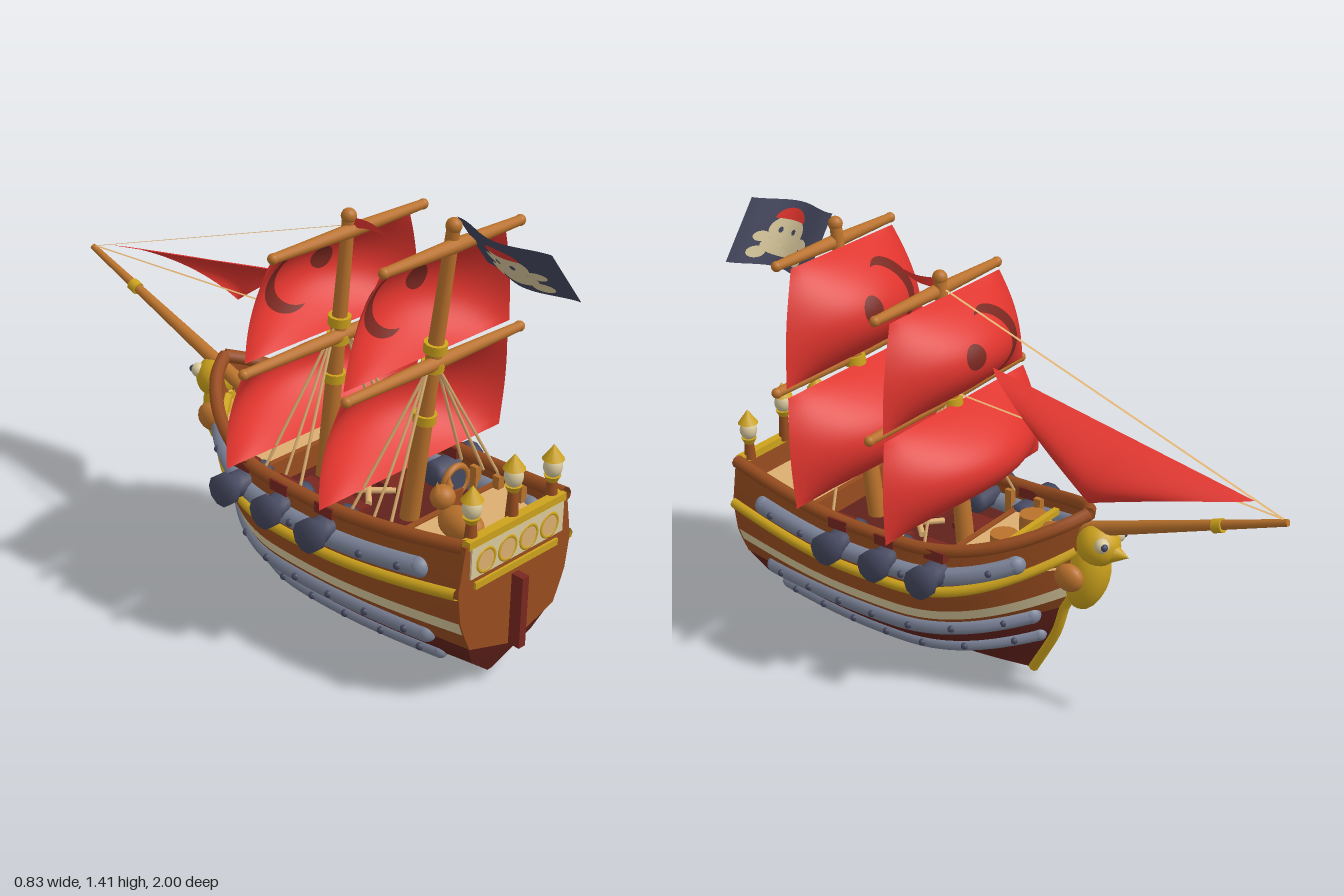
import * as THREE from 'three';

const colour = (name, hex) => new THREE.MeshStandardMaterial({ name, color: hex, side: THREE.DoubleSide });
const M = {
  hull: colour('hull brown', 0x974c1f), wood: colour('orange wood', 0xba722c),
  dark: colour('dark red wood', 0x62221b), sail: colour('sail red', 0xdf342d),
  cream: colour('cream', 0xd8c89c), gold: colour('gold', 0xcca21c),
  steel: colour('steel', 0x7d859a), slate: colour('slate', 0x46485f),
  tan: colour('tan', 0xdcae70), crest: colour('crest red', 0x78271f),
};
const V = (x, y, z) => new THREE.Vector3(x, y, z);
const lerp = THREE.MathUtils.lerp;

export function createModel() {
  const ship = new THREE.Group();
  ship.name = 'sailingShip';
  const add = (name, geo, mat, x = 0, y = 0, z = 0) => {
    const m = new THREE.Mesh(geo, mat);
    m.name = name;
    m.position.set(x, y, z);
    ship.add(m);
    return m;
  };
  const box = (name, mat, w, h, d, x, y, z) => add(name, new THREE.BoxGeometry(w, h, d), mat, x, y, z);
  const ball = (name, mat, r, x, y, z, sx = 1, sy = 1, sz = 1) => {
    const m = add(name, new THREE.SphereGeometry(r, 16, 12), mat, x, y, z);
    m.scale.set(sx, sy, sz);
    return m;
  };
  // Tapered round bar between two points
  const bar = (name, mat, a, b, ra, rb = ra, n = 12) => {
    const m = add(name, new THREE.CylinderGeometry(rb, ra, a.distanceTo(b), n), mat);
    m.position.copy(a).lerp(b, 0.5);
    m.quaternion.setFromUnitVectors(V(0, 1, 0), b.clone().sub(a).normalize());
    return m;
  };
  const tube = (name, mat, pts, r, n = 48) =>
    add(name, new THREE.TubeGeometry(new THREE.CatmullRomCurve3(pts), n, r, 8), mat);
  // Surface from a rule over u, v in 0..1
  const grid = (name, mat, fn, nu, nv) => {
    const pos = [], idx = [], w = nu + 1;
    for (let j = 0; j <= nv; j++) for (let i = 0; i <= nu; i++) pos.push(...fn(i / nu, j / nv).toArray());
    for (let j = 0; j < nv; j++) for (let i = 0; i < nu; i++) {
      const a = j * w + i;
      idx.push(a, a + 1, a + w, a + 1, a + w + 1, a + w);
    }
    const g = new THREE.BufferGeometry();
    g.setAttribute('position', new THREE.Float32BufferAttribute(pos, 3));
    g.setIndex(idx);
    g.computeVertexNormals();
    return add(name, g, mat);
  };

  // Hull rows: mid y, stern y, bow y, half width, stern z, bow z, bow sharpness, stern narrowing
  const rows = [
    [0, 0.01, 0.02, 0.015, 0.86, -0.12, 1.3, 0.7],
    [0.11, 0.11, 0.19, 0.2, 0.9, -0.21, 1.25, 0.65],
    [0.21, 0.2, 0.29, 0.265, 0.93, -0.24, 1.12, 0.7],
    [0.245, 0.26, 0.34, 0.28, 0.93, -0.265, 1.05, 0.76],
    [0.28, 0.305, 0.39, 0.288, 0.93, -0.28, 1, 0.8],
    [0.355, 0.41, 0.52, 0.295, 0.93, -0.3, 0.88, 0.83],
    [0.5, 0.555, 0.64, 0.275, 0.93, -0.32, 0.78, 0.8],
  ];
  const rowPoint = ([mid, st, bow, w, zs, ze, q, n], s) => {
    const a = Math.max(0, 1 - s / 0.4) ** 1.5, b = Math.max(0, (s - 0.6) / 0.4) ** 2;
    const f = s < 0.5 ? lerp(n, 1, Math.sin(Math.PI * s)) : Math.max(0, 1 - ((s - 0.5) / 0.5) ** 2.7) ** q;
    return V(w * f, mid + (st - mid) * a + (bow - mid) * b, lerp(zs, ze, s));
  };
  const hull = (t, s, side = 1) => {
    const i = Math.min(5, Math.floor(t));
    const p = rowPoint(rows[i], s).lerp(rowPoint(rows[i + 1], s), t - i);
    p.x *= side;
    return p;
  };
  const along = (t, s0, s1, side, n = 30) =>
    Array.from({ length: n + 1 }, (_, i) => hull(t, lerp(s0, s1, i / n), side));
  const sAt = (t, z) => { const a = hull(t, 0).z; return (a - z) / (a - hull(t, 1).z); };
  const ease = (u) => 1 - (1 - u) ** 1.6; // finer steps at the bow
  const strakes = [[0, 2, M.dark, 'lowerHull'], [2, 3, M.hull, 'waterlinePlank'], [3, 4, M.cream, 'creamStripe'],
    [4, 6, M.hull, 'upperHull']];
  const barrel = [[0, 0], [0.034, 0], [0.043, 0.02], [0.043, 0.13], [0.037, 0.15], [0.052, 0.162], [0.052, 0.197], [0, 0.197]];
  for (const side of [-1, 1]) {
    for (const [t0, t1, mat, name] of strakes)
      grid(name, mat, (u, v) => hull(lerp(t0, t1, v), ease(side > 0 ? u : 1 - u), side), 44, 2 * (t1 - t0));
    tube('topRail', M.hull, along(6, 0, 1, side), 0.022);
    tube('goldMoulding', M.gold, along(5, 0, 0.99, side), 0.018);
    // Armour strips with studs
    for (const [t, r] of [[1, 0.024], [2, 0.031], [5.38, 0.033]]) {
      const s0 = sAt(t, 0.79), s1 = sAt(t, -0.16), path = along(t, s0, s1, side);
      for (const p of path) p.x -= side * 0.006;
      tube('armourStrip', M.steel, path, r);
      for (const p of [path[0], path[30]]) ball('armourEnd', M.steel, r, p.x, p.y, p.z);
      for (let k = 0; k < 7; k++) {
        const p = hull(t, lerp(s0, s1, (k + 0.4) / 6.8), side);
        ball('stud', M.slate, 0.012, p.x + side * (r - 0.009), p.y, p.z);
      }
    }
    // Cannons and their port lids
    for (const z of [0.44, 0.25, 0.065]) {
      const c = add('cannon', new THREE.LatheGeometry(barrel.map((p) => new THREE.Vector2(...p)), 10), M.slate,
        side * 0.17, 0.435, z);
      c.rotation.z = -side * Math.PI / 2;
      box('portLid', M.crest, 0.05, 0.035, 0.075, side * (hull(6, sAt(6, z)).x - 0.002), 0.497, z);
    }
  }
  tube('stem', M.gold, rows.slice(0, 6).map((r) => rowPoint(r, 1)), 0.017);

  // Stern
  grid('sternBottom', M.dark, (u, v) => { const p = hull(v * 2, 0); p.x *= 2 * u - 1; return p; }, 4, 4);
  const tr = new THREE.Shape();
  tr.moveTo(0, 0.14);
  for (const t of [2, 3, 4, 5, 6]) tr.lineTo(hull(t, 0).x, hull(t, 0).y);
  for (const t of [6, 5, 4, 3, 2]) tr.lineTo(-hull(t, 0).x, hull(t, 0).y);
  add('transom', new THREE.ExtrudeGeometry(tr, { depth: 0.014, bevelEnabled: false }), M.hull, 0, 0, 0.922);
  box('windowPanel', M.cream, 0.4, 0.1, 0.008, 0, 0.495, 0.938);
  box('sternRail', M.gold, 0.42, 0.026, 0.03, 0, 0.556, 0.926);
  box('sternSill', M.gold, 0.36, 0.022, 0.016, 0, 0.416, 0.936);
  box('rudder', M.crest, 0.028, 0.24, 0.05, 0, 0.265, 0.953);
  for (let i = 0; i < 4; i++) {
    const x = -0.138 + i * 0.092;
    add('windowRim', new THREE.TorusGeometry(0.037, 0.007, 8, 24), M.gold, x, 0.488, 0.938);
    add('window', new THREE.CircleGeometry(0.037, 24), M.tan, x, 0.488, 0.943);
  }
  // Lanterns
  for (const [x, dy] of [[-0.175, 0], [0, 0.035], [0.175, 0]]) {
    const y = 0.57 + dy, z = 0.912;
    add('lanternPost', new THREE.CylinderGeometry(0.014, 0.02, 0.07 + dy, 10), M.hull, x, 0.59 + dy / 2, z);
    add('lanternBase', new THREE.CylinderGeometry(0.026, 0.016, 0.02, 12), M.gold, x, y + 0.05, z);
    ball('lanternGlass', M.cream, 0.029, x, y + 0.088, z, 1, 1.2, 1);
    add('lanternCap', new THREE.ConeGeometry(0.034, 0.048, 12), M.gold, x, y + 0.137, z);
  }

  // Decks and bulkheads
  const deck = (name, mat, y, z0, z1) => grid(name, mat, (u, v) => {
    const z = lerp(z0, z1, v), p = hull(5.5, (0.93 - z) / 1.24);
    return V(p.x * (1 - 2 * u) * 0.99, y, z);
  }, 2, 16);
  deck('poopDeck', M.tan, 0.46, 0.93, 0.64);
  deck('mainDeck', M.dark, 0.39, 0.64, 0.08);
  deck('foreDeck', M.tan, 0.46, 0.08, -0.29);
  box('poopBulkhead', M.hull, 0.52, 0.08, 0.02, 0, 0.425, 0.64);
  box('foreBulkhead', M.hull, 0.48, 0.08, 0.02, 0, 0.425, 0.08);
  box('foreRail', M.gold, 0.28, 0.02, 0.02, 0, 0.53, -0.11);
  for (const x of [-0.08, 0.08]) {
    add('barrel', new THREE.CylinderGeometry(0.045, 0.045, 0.07, 14), M.wood, x, 0.495, -0.06);
    for (const z of [0.2, 0.36]) box('hatch', M.crest, 0.1, 0.02, 0.1, x * 1.4, 0.4, z);
  }
  for (const a of [-0.6, 0.6]) bar('looseSpar', M.tan, V(-a * 0.1, 0.41, 0.28), V(a * 0.1, 0.41, 0.4), 0.01);
  // Inner bulwark posts
  for (const side of [-1, 1]) for (const z of [0.88, 0.76, 0.66, 0.56, 0.34, 0.15, 0.02]) {
    const p = hull(5.9, sAt(5.9, z));
    box('bulwarkPost', M.wood, 0.025, p.y - 0.39, 0.025, side * (p.x - 0.022), (p.y + 0.39) / 2, z);
  }

  // Steering wheel and ship's cat
  add('wheelRim', new THREE.TorusGeometry(0.048, 0.011, 8, 24), M.wood, 0.015, 0.575, 0.68);
  add('wheelDisc', new THREE.CylinderGeometry(0.045, 0.045, 0.012, 24), M.slate, 0.015, 0.575, 0.68).rotation.x = Math.PI / 2;
  box('wheelStand', M.hull, 0.04, 0.1, 0.03, 0.015, 0.5, 0.68);
  ball('catBody', M.wood, 0.055, -0.1, 0.53, 0.81, 0.95, 0.95, 1.45);
  ball('catHead', M.wood, 0.038, -0.1, 0.59, 0.735);
  for (const s of [-1, 1]) add('catEar', new THREE.ConeGeometry(0.014, 0.035, 8), M.wood, -0.1 + s * 0.025, 0.633, 0.735);

  // Sails: each mast leans back
  const masts = [
    { at: (y) => 0.53 + (y - 0.5) * 0.136, top: 1.38, yards: [[1.32, 0.28], [0.94, 0.365]],
      sails: [[1.31, 0.955, 0.25, 0.35], [0.925, 0.57, 0.35, 0.39]] },
    { at: (y) => 0.16 + (y - 0.5) * 0.1, top: 1.29, yards: [[1.245, 0.31], [0.895, 0.395]],
      sails: [[1.235, 0.91, 0.28, 0.365], [0.885, 0.565, 0.365, 0.41]] },
  ];
  // Flat painted patch in the u, v space of a surface, shown on both faces
  const patch = (name, mat, surf, off, cu, cv, ru, rv, a0 = 0, a1 = 2 * Math.PI, inner = () => 0) => {
    for (const d of [-1, 1]) grid(name, mat, (p, r) => {
      const a = lerp(a0, a1, p), k = lerp(inner(p), 1, r);
      return surf(cu + ru * k * Math.cos(a), cv + rv * k * Math.sin(a)).addScaledVector(off, d);
    }, 36, 4);
  };
  for (const { at, top, yards, sails } of masts) {
    bar('mast', M.wood, V(0, 0.38, at(0.38)), V(0, top, at(top)), 0.031, 0.02);
    ball('mastCap', M.wood, 0.024, 0, top, at(top));
    for (const [y, half] of yards) for (const s of [-1, 1]) {
      const z = at(y) + 0.012;
      bar('yard', M.wood, V(0, y, z), V(s * half, y, z), 0.022, 0.015);
      ball('yardEnd', M.wood, 0.017, s * half, y, z);
    }
    for (const y of [yards[1][0] + 0.05, yards[1][0] - 0.01, 0.75])
      bar('mastBand', M.gold, V(0, y - 0.015, at(y - 0.015)), V(0, y + 0.015, at(y + 0.015)), 0.036);
    sails.forEach(([yT, yB, wT, wB], i) => {
      // Lower sails bulge a little further and hang further forward at the foot
      const deep = i ? 0.175 : 0.15;
      const surf = (u, v) => {
        const y = lerp(yT, yB, v);
        const bulge = deep * Math.max(0, Math.sin(Math.PI * v)) ** 0.85 * (1 - 0.95 * u * u);
        return V(u * (lerp(wT, wB, v) + 0.02 * Math.sin(Math.PI * v)), y, at(y) - 0.018 - bulge);
      };
      grid(i ? 'lowerSail' : 'upperSail', M.sail, (u, v) => surf(2 * u - 1, v), 24, 24);
      if (i) return;
      patch('crescent', M.crest, surf, V(0, 0, 0.004), -0.25, 0.47, 0.38, 0.35, 1.2, 5.2,
        (p) => 1 - 0.5 * Math.sin(Math.PI * p));
      patch('crestDot', M.crest, surf, V(0, 0, 0.004), 0.18, 0.45, 0.12, 0.12);
    });
    // Shrouds
    for (const s of [-1, 1]) for (const dz of [-0.03, 0.06, 0.13])
      bar('shroud', M.tan, V(s * 0.02, 0.92, at(0.92)), V(s * 0.245, 0.49, at(0.5) + dz), 0.005, 0.005, 6);
  }

  // Bowsprit, ribbon stays and jib
  bar('bowsprit', M.wood, V(0, 0.54, -0.17), V(0, 0.818, -0.995), 0.028, 0.011);
  bar('bowspritBand', M.gold, V(0, 0.735, -0.757), V(0, 0.745, -0.787), 0.022);
  for (const [y, z] of [[1.26, 0.235], [0.92, 0.2]])
    grid('stay', M.tan, (u, v) => V((u - 0.5) * 0.01, lerp(y, 0.825, v), lerp(z, -0.98, v)), 1, 1);
  grid('jib', M.sail, (u, v) => {
    const p = V(0, 1.04, 0.04).lerp(V(0, 0.855, -0.885), u).lerp(V(0, 0.765, -0.41), v);
    p.x = 0.14 * Math.sin(Math.PI * v / 2) ** 0.75 + 0.16 * v * (1 - v) * Math.sin(Math.PI * u);
    p.y += 0.07 * v * (1 - v) * Math.abs(2 * u - 1);
    return p;
  }, 20, 14);

  // Flag with a masked face, and a pennant
  const flag = (u, v) => V(-0.025 + 0.14 * v + 0.025 * Math.cos(6 * u), 1.41 - 0.18 * v - 0.012 * u, 0.66 + 0.34 * u);
  grid('flag', M.slate, flag, 20, 8);
  const out = V(0.004, 0.003, 0), over = V(0.007, 0.005, 0);
  patch('flagFace', M.cream, flag, out, 0.5, 0.46, 0.21, 0.22);
  patch('flagJaw', M.cream, flag, out, 0.5, 0.7, 0.24, 0.15);
  for (const s of [-1, 1]) {
    patch('flagBoneEnd', M.cream, flag, out, 0.5 + s * 0.25, 0.82, 0.09, 0.09);
    patch('flagBoneTip', M.cream, flag, out, 0.5 + s * 0.25, 0.58, 0.08, 0.08);
    patch('flagEye', M.slate, flag, over, 0.5 + s * 0.08, 0.47, 0.025, 0.045);
  }
  patch('flagScarf', M.sail, flag, over, 0.5, 0.3, 0.18, 0.18, Math.PI, 2 * Math.PI);
  grid('pennant', M.sail, (u, v) => V(0.015 * Math.sin(5 * u), 1.27 + 0.01 * u + (v - 0.5) * 0.035 * (1 - u), 0.24 + 0.2 * u), 10, 2);

  // Bird figurehead
  ball('birdHead', M.gold, 0.07, 0, 0.55, -0.36);
  ball('birdBody', M.gold, 0.075, 0, 0.43, -0.325, 0.95, 1.7, 0.9).rotation.x = -0.25;
  add('birdBeak', new THREE.ConeGeometry(0.034, 0.06, 12), M.gold, 0, 0.535, -0.44).rotation.x = -Math.PI / 2;
  for (const s of [-1, 1]) {
    ball('birdEye', M.cream, 0.024, s * 0.046, 0.575, -0.4);
    ball('birdPupil', M.slate, 0.012, s * 0.056, 0.578, -0.415);
    ball('birdWing', M.wood, 0.046, s * 0.08, 0.45, -0.305, 0.7, 1, 1.1);
  }
  return ship;
}
